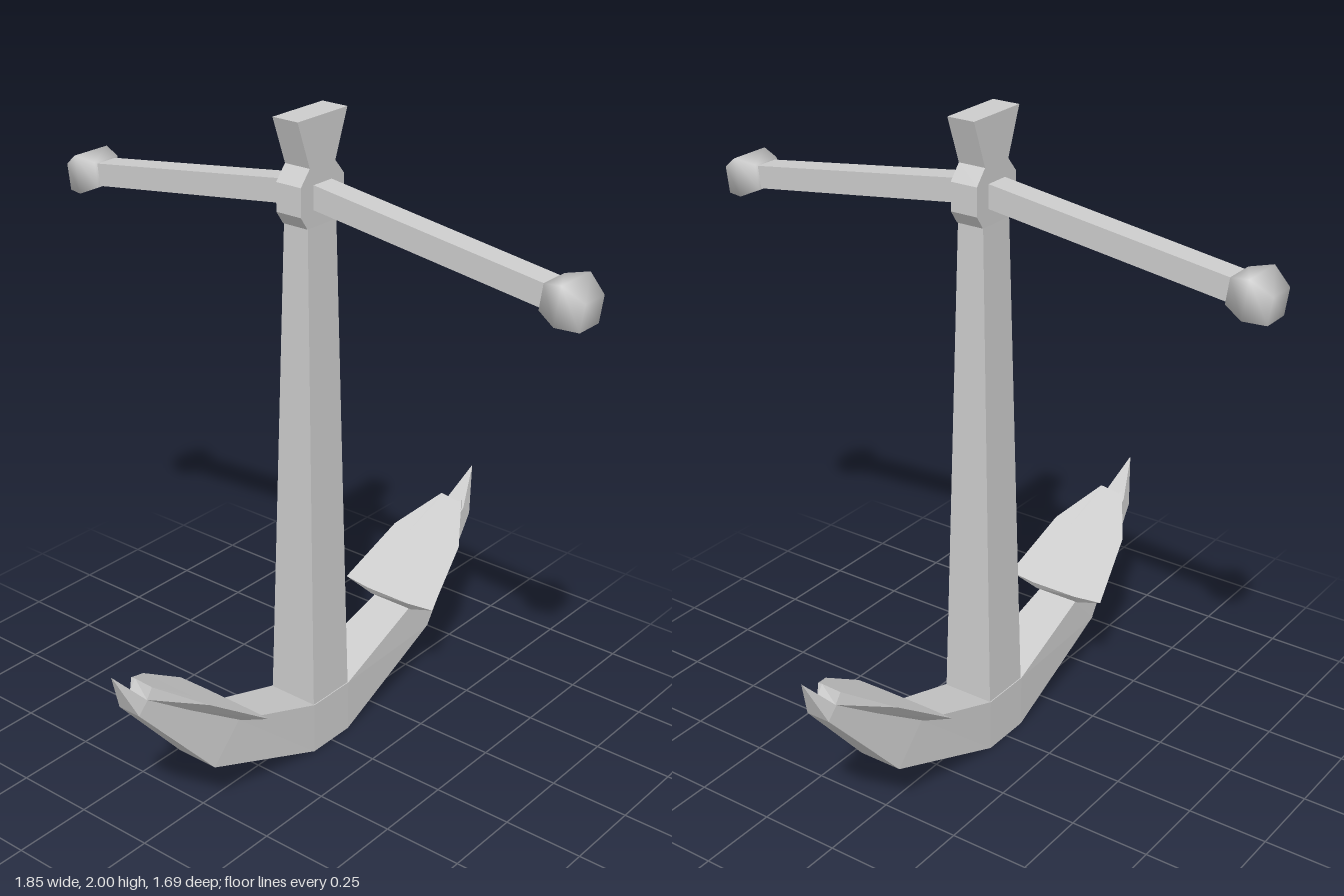
import * as THREE from 'three';
import { mergeVertices } from 'three/addons/utils/BufferGeometryUtils.js';

const flatMaterial = new THREE.MeshStandardMaterial({ color: 0xcccccc, flatShading: true });
const smoothMaterial = new THREE.MeshStandardMaterial({ color: 0xcccccc });

// Skin a closed solid over matching convex cross-sections, with capped ends
function loft(sections) {
  const tris = [];
  const n = sections[0].length;
  for (let s = 0; s < sections.length - 1; s++) {
    const a = sections[s], b = sections[s + 1];
    for (let i = 0; i < n; i++) {
      const j = (i + 1) % n;
      tris.push([a[i], a[j], b[j]], [a[i], b[j], b[i]]);
    }
  }
  const first = sections[0], last = sections[sections.length - 1];
  for (let i = 1; i < n - 1; i++) {
    tris.push([first[0], first[i + 1], first[i]], [last[0], last[i], last[i + 1]]);
  }
  // Turn the faces outward if the sections ran the other way
  const volume = tris.reduce((v, [a, b, c]) => v + a.dot(b.clone().cross(c)), 0);
  const points = tris
    .filter(([a, b, c]) => b.clone().sub(a).cross(c.clone().sub(a)).length() > 1e-9)
    .flatMap(([a, b, c]) => (volume < 0 ? [a, c, b] : [a, b, c]));
  const geometry = new THREE.BufferGeometry().setFromPoints(points);
  geometry.computeVertexNormals();
  return geometry;
}

const v = (x, y, z) => new THREE.Vector3(x, y, z);

// Horizontal rectangle for upright parts
const level = ([y, hx, hz]) => [v(-hx, y, -hz), v(hx, y, -hz), v(hx, y, hz), v(-hx, y, hz)];

// Rectangle across an arm, between a lower and an upper edge
const armSection = ([zLow, yLow, zTop, yTop, hx]) =>
  [v(-hx, yLow, zLow), v(hx, yLow, zLow), v(hx, yTop, zTop), v(-hx, yTop, zTop)];

// Fluke section: thick in the middle, thin at the side edges
const flukeSection = ([zTop, yTop, inner, outer]) => [
  v(-inner, yTop, zTop), v(inner, yTop, zTop), v(outer, yTop + 0.005, zTop + 0.008),
  v(inner, yTop - 0.032, zTop + 0.022), v(-inner, yTop - 0.032, zTop + 0.022),
  v(-outer, yTop + 0.005, zTop + 0.008),
];

// Rectangle across the drooping stock, leaning with its slope
const stockSection = ([x, y, hy, hz]) => {
  const lean = hy * 0.14;
  return [v(x - lean, y - hy, -hz), v(x + lean, y + hy, -hz), v(x + lean, y + hy, hz), v(x - lean, y - hy, hz)];
};

function addMesh(parent, name, geometry, material = flatMaterial) {
  const mesh = new THREE.Mesh(geometry, material);
  mesh.name = name;
  parent.add(mesh);
}

export function createModel() {
  const anchor = new THREE.Group();
  anchor.name = 'anchor';

  // Tapered shank
  addMesh(anchor, 'shank', loft([[0.05, 0.085, 0.083], [0.17, 0.083, 0.083], [1.72, 0.042, 0.062]].map(level)));

  // Collar around the stock, with the flared head above
  addMesh(anchor, 'collarAndHead', loft([
    [1.69, 0.044, 0.065], [1.73, 0.044, 0.093], [1.815, 0.044, 0.093],
    [1.86, 0.044, 0.055], [2.0, 0.044, 0.106],
  ].map(level)));

  // Each half turn repeats the arm, fluke and stock on the opposite side
  for (const [side, angle] of [['front', 0], ['back', Math.PI]]) {
    const arm = new THREE.Group();
    arm.name = side + 'Arm';
    arm.rotation.y = angle;
    anchor.add(arm);
    addMesh(arm, 'armBeam', loft([
      [0, 0, 0, 0.17, 0.086], [0.083, 0, 0.083, 0.17, 0.086], [0.52, 0.17, 0.41, 0.28, 0.07],
      [0.785, 0.47, 0.75, 0.505, 0.038], [0.846, 0.61, 0.846, 0.61, 0.001],
    ].map(armSection)));
    addMesh(arm, 'fluke', loft([
      [0.39, 0.315, 0.08, 0.174], [0.59, 0.446, 0.065, 0.13], [0.725, 0.535, 0.033, 0.04],
    ].map(flukeSection)));
  }

  for (const [side, angle] of [['left', 0], ['right', Math.PI]]) {
    const stock = new THREE.Group();
    stock.name = side + 'Stock';
    stock.rotation.y = angle;
    anchor.add(stock);
    addMesh(stock, 'stockBar', loft([[0.02, 1.778, 0.035, 0.039], [0.81, 1.67, 0.034, 0.038]].map(stockSection)));

    // Softly shaded knob at the end of the bar
    const knob = loft([
      [0.795, 1.673, 0.038, 0.048], [0.857, 1.667, 0.058, 0.068], [0.918, 1.643, 0.04, 0.045],
    ].map(stockSection));
    knob.deleteAttribute('normal');
    const smoothKnob = mergeVertices(knob);
    smoothKnob.computeVertexNormals();
    addMesh(stock, 'stockKnob', smoothKnob, smoothMaterial);
  }
  return anchor;
}
